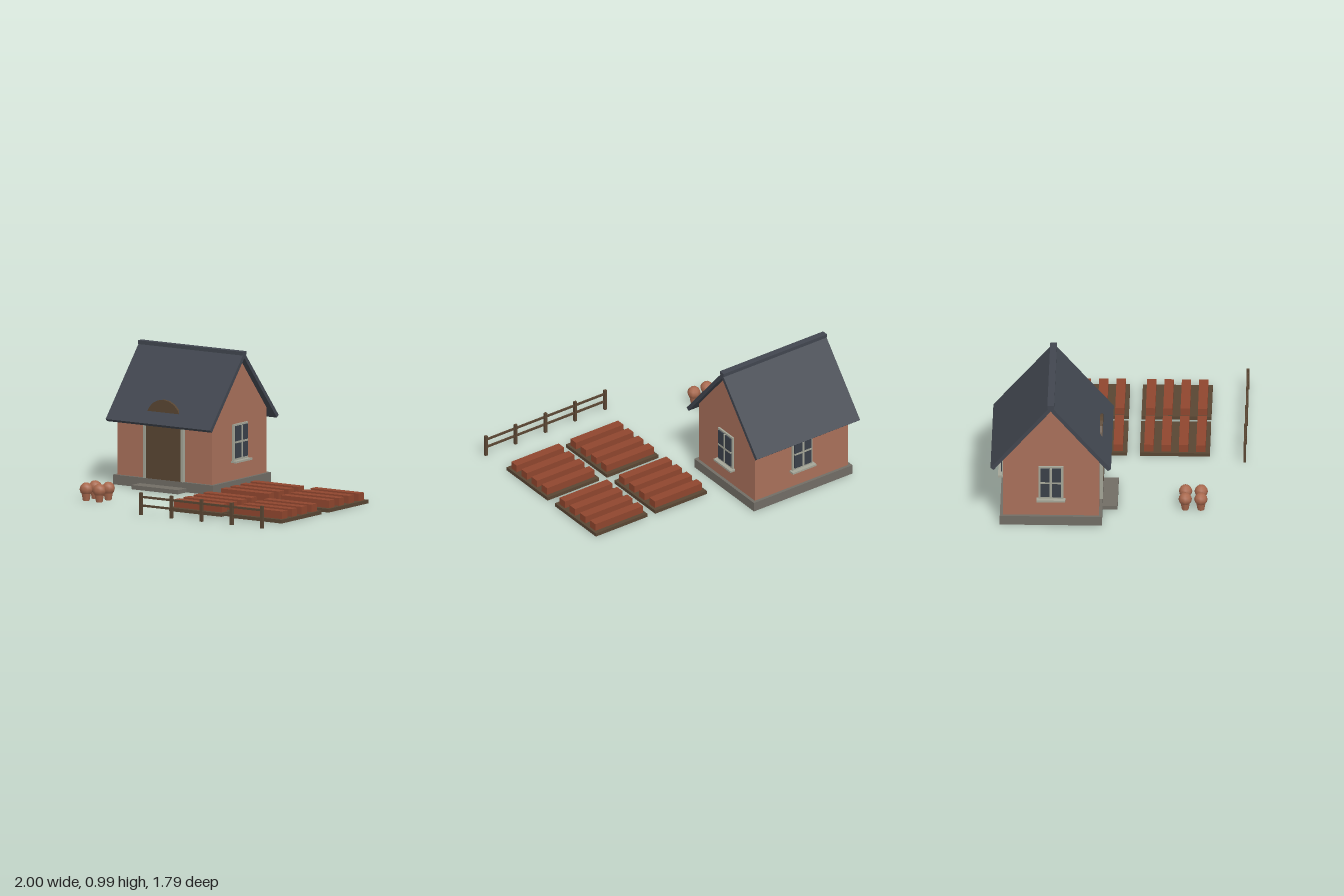
import * as THREE from 'three';

const paint = (name, color) => {
  const m = new THREE.MeshStandardMaterial({ color });
  m.name = name;
  return m;
};

export function createModel() {
  const brick = paint('brick wall', 0xa9705a);
  const slate = paint('slate roof', 0x41464f);
  const stone = paint('plinth stone', 0x716d65);
  const wood = paint('dark wood', 0x594633);
  const trim = paint('pale trim', 0xa4a597);
  const glass = paint('window glass', 0x3a4049);
  const rust = paint('planting rows', 0x8f462e);
  const clay = paint('terracotta', 0xa9694e);

  const model = new THREE.Group();
  model.name = 'cottageGarden';

  const add = (parent, name, geometry, material, x = 0, y = 0, z = 0) => {
    const mesh = new THREE.Mesh(geometry, material);
    mesh.name = name;
    mesh.position.set(x, y, z);
    parent.add(mesh);
    return mesh;
  };
  // Box centred on x and z, standing on y
  const box = (parent, name, material, w, h, d, x, y, z) =>
    add(parent, name, new THREE.BoxGeometry(w, h, d), material, x, y + h / 2, z);
  const group = (parent, name, x = 0, y = 0, z = 0) => {
    const g = new THREE.Group();
    g.name = name;
    g.position.set(x, y, z);
    parent.add(g);
    return g;
  };
  // Profile in (z, y), extruded along x and centred
  const alongX = (points, length) => {
    const shape = new THREE.Shape(points.map(([u, v]) => new THREE.Vector2(u, v)));
    return new THREE.ExtrudeGeometry(shape, { depth: length, bevelEnabled: false })
      .translate(0, 0, -length / 2).rotateY(Math.PI / 2);
  };

  // House, with its own origin below the middle of the ridge
  const house = group(model, 'house', -0.549, 0, -0.468);
  const halfX = 0.407, halfZ = 0.34;
  box(house, 'plinth', stone, 0.86, 0.07, 0.724, 0, 0, 0);
  box(house, 'doorStep', stone, 0.4, 0.03, 0.106, 0, 0, 0.415);
  add(house, 'walls', alongX([
    [-halfZ, 0.07], [halfZ, 0.07], [halfZ, 0.533], [0, 0.938], [-halfZ, 0.533],
  ], halfX * 2), brick);
  add(house, 'roof', alongX([
    [-0.427, 0.475], [-0.405, 0.457], [0, 0.939], [0.405, 0.457], [0.427, 0.475], [0, 0.981],
  ], 0.9), slate);
  box(house, 'ridgeCap', slate, 0.902, 0.026, 0.048, 0, 0.96, 0);

  // Arched door whose head rises through the roof
  const doorShape = new THREE.Shape();
  doorShape.moveTo(-0.15, 0.07);
  doorShape.lineTo(0.15, 0.07);
  for (let i = 0; i <= 10; i++) {
    const a = (i / 10) * Math.PI;
    doorShape.lineTo(0.15 * Math.cos(a), 0.495 + 0.15 * Math.sin(a));
  }
  add(house, 'door', new THREE.ExtrudeGeometry(doorShape, { depth: 0.02, bevelEnabled: false }),
    wood, 0, 0, halfZ);
  for (const s of [-1, 1]) {
    box(house, 'doorJamb', trim, 0.022, 0.43, 0.024, s * 0.161, 0.07, halfZ + 0.012);
  }

  // Window facing +z, turned to the wall it belongs to
  const addWindow = (name, x, z, turn) => {
    const w = group(house, name, x, 0, z);
    w.rotation.y = turn;
    box(w, 'windowFrame', trim, 0.178, 0.27, 0.013, 0, 0.2, 0.0065);
    for (const sx of [-1, 1]) {
      for (const y of [0.227, 0.349]) {
        box(w, 'windowPane', glass, 0.066, 0.108, 0.009, sx * 0.0405, y, 0.0175);
      }
    }
    box(w, 'uprightBar', trim, 0.015, 0.23, 0.012, 0, 0.227, 0.018);
    box(w, 'crossBar', trim, 0.147, 0.014, 0.012, 0, 0.335, 0.018);
    box(w, 'windowSill', trim, 0.205, 0.014, 0.042, 0, 0.196, 0.021);
  };
  addWindow('leftWindow', halfX, 0, Math.PI / 2);
  addWindow('rightWindow', -halfX, 0, -Math.PI / 2);
  addWindow('backWindow', 0, -halfZ, Math.PI);

  // Four garden beds with four rows each
  for (const x of [0.242, 0.76]) {
    for (const z of [-0.198, 0.388]) {
      const bed = group(model, 'gardenBed', x, 0, z);
      box(bed, 'bedBase', wood, 0.45, 0.026, 0.496, 0, 0, 0);
      for (let i = 0; i < 4; i++) {
        box(bed, 'plantingRow', rust, 0.414, 0.055, 0.066, 0, 0.026, (i - 1.5) * 0.123);
      }
    }
  }

  // Fence
  const fence = group(model, 'fence', 0.4675, 0, 0.885);
  for (let i = -2; i <= 2; i++) box(fence, 'fencePost', wood, 0.021, 0.16, 0.02, i * 0.26, 0, 0);
  for (const y of [0.06, 0.122]) box(fence, 'fenceRail', wood, 1.04, 0.015, 0.011, 0, y, 0);

  // Potted round shrubs
  const potShape = new THREE.CylinderGeometry(0.035, 0.024, 0.06, 8);
  const shrubShape = new THREE.SphereGeometry(0.048, 8, 6);
  for (const x of [-0.73, -0.617]) {
    for (const z of [0.479, 0.59]) {
      const plant = group(model, 'pottedShrub', x, 0, z);
      add(plant, 'pot', potShape, clay, 0, 0.03, 0);
      add(plant, 'shrub', shrubShape, clay, 0, 0.083, 0);
    }
  }
  return model;
}
